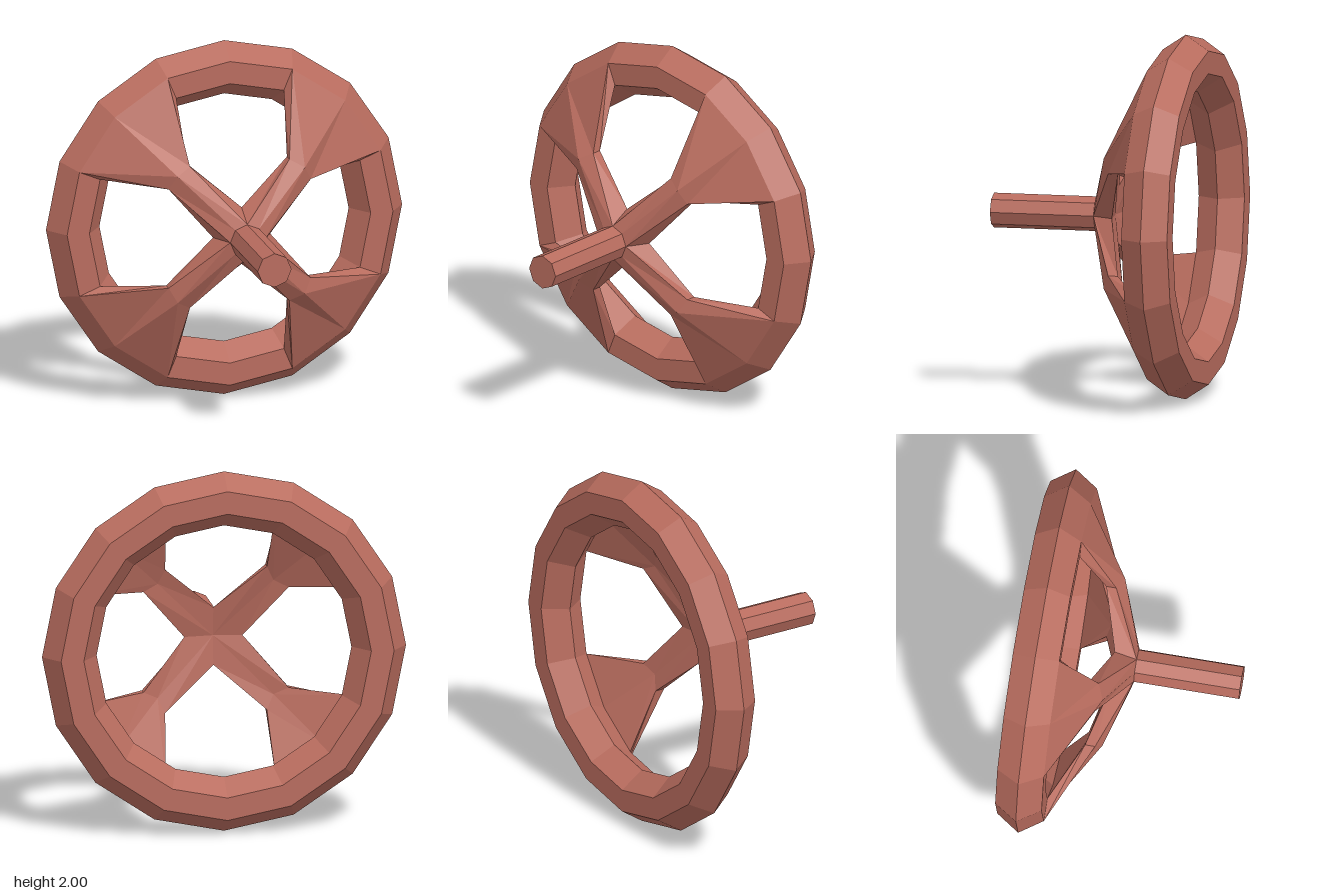
import * as THREE from 'three';

const rad = THREE.MathUtils.degToRad;

// Spoke cross-sections, each point as [radius, angle from spoke axis, z]:
// three points across the front, then three back across the rear.
const sections = [
  // hub
  [[0.095, -45, 0.02], [0.095, 0, 0.02], [0.095, 45, 0.02],
   [0.16, 45, -0.1], [0, 0, -0.08], [0.16, -45, -0.1]],
  // knee
  [[0.487, -10, -0.14], [0.505, 0, -0.105], [0.487, 10, -0.14],
   [0.487, 10, -0.195], [0.45, 0, -0.175], [0.487, -10, -0.195]],
  // flared end, meeting the front of the rim
  [[0.915, -22.5, -0.345], [0.915, 0, -0.345], [0.915, 22.5, -0.345],
   [0.79, 22.5, -0.345], [0.79, 0, -0.345], [0.79, -22.5, -0.345]],
];

function spokeGeometry() {
  const rings = sections.map(s => s.map(([r, a, z]) =>
    [r * Math.cos(rad(a)), r * Math.sin(rad(a)), z]));
  const pos = [];
  for (let i = 0; i < rings.length - 1; i++) {
    for (let j = 0; j < 6; j++) {
      const k = (j + 1) % 6;
      const a = rings[i][j], b = rings[i][k];
      const c = rings[i + 1][k], d = rings[i + 1][j];
      pos.push(...a, ...d, ...c, ...a, ...c, ...b);
    }
  }
  const geo = new THREE.BufferGeometry();
  geo.setAttribute('position', new THREE.Float32BufferAttribute(pos, 3));
  geo.computeVertexNormals();
  return geo;
}

export function createModel() {
  const paint = new THREE.MeshStandardMaterial({ color: 0xb86c5e });
  paint.name = 'clay red';
  paint.flatShading = true;

  const model = new THREE.Group();
  model.name = 'handwheel';
  const add = (name, geo) => {
    const mesh = new THREE.Mesh(geo, paint);
    mesh.name = name;
    mesh.position.y = 1;
    model.add(mesh);
    return mesh;
  };

  // Sixteen-sided rim with a hexagonal section
  const profile = [[0.7, 0], [0.79, -0.128], [0.915, -0.128], [1, 0],
    [0.915, 0.128], [0.79, 0.128], [0.7, 0]].map(p => new THREE.Vector2(...p));
  const rim = new THREE.LatheGeometry(profile, 16);
  rim.rotateX(Math.PI / 2);
  rim.translate(0, 0, -0.473);
  add('rim', rim);

  // Octagonal shaft pointing forward
  const shaft = new THREE.CylinderGeometry(0.095, 0.095, 0.58, 8);
  shaft.rotateX(Math.PI / 2);
  shaft.translate(0, 0, 0.31);
  add('shaft', shaft);

  // Four diagonal spokes that bend back and flare into the rim
  const spoke = spokeGeometry();
  for (let i = 0; i < 4; i++) {
    add('spoke' + (i + 1), spoke).rotation.z = rad(45 + 90 * i);
  }

  return model;
}
